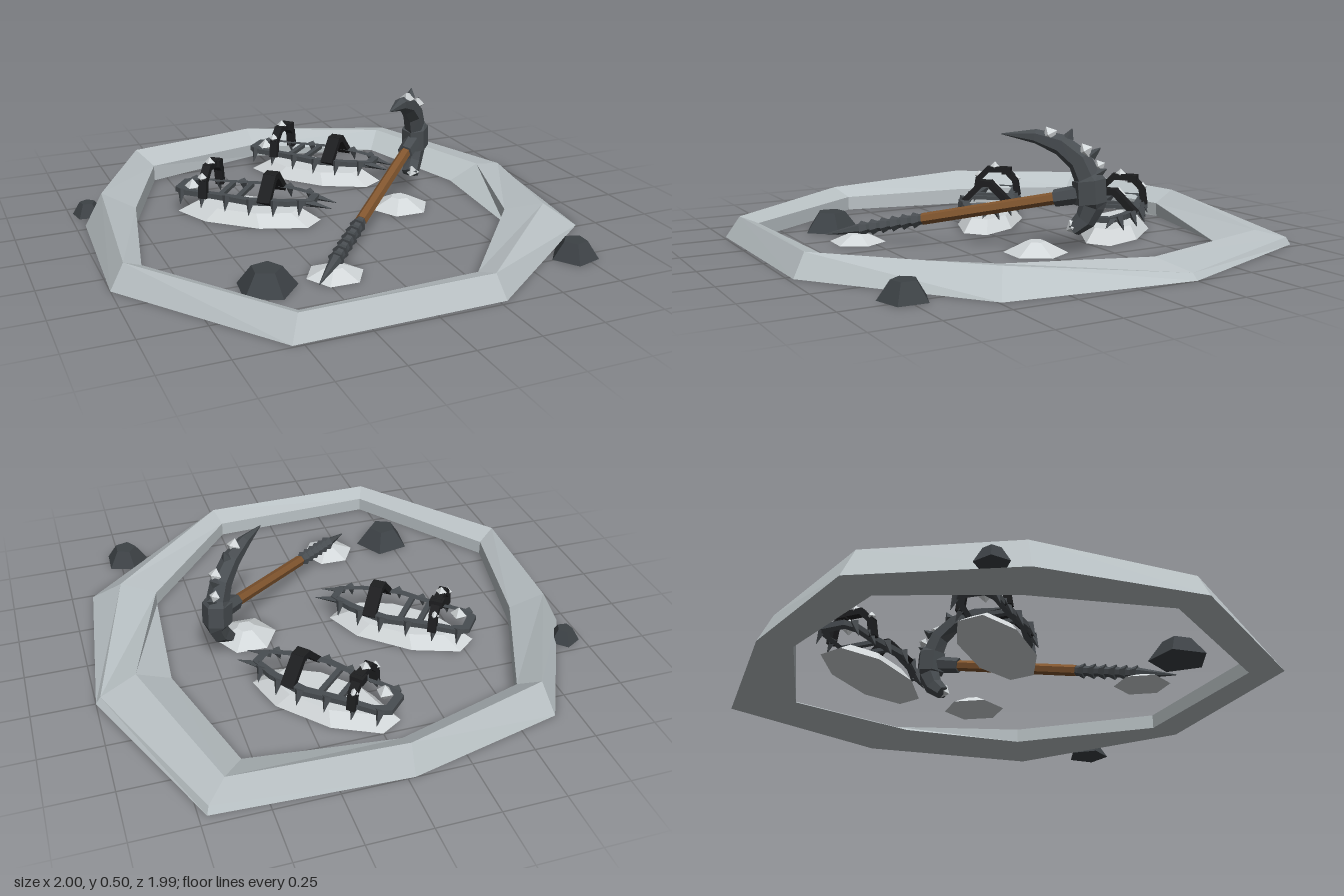
import * as THREE from 'three';

const mat = (name, color) => {
  const m = new THREE.MeshStandardMaterial({ color });
  m.name = name;
  return m;
};
const V = (x, y, z) => new THREE.Vector3(x, y, z);

export function createModel() {
  const ice = mat('ice', 0xbac2c5), snow = mat('snow', 0xd2d7d9), metal = mat('metal', 0x484d51);
  const strapBlack = mat('strap', 0x1d1e20), wood = mat('wood', 0x82562f), stone = mat('stone', 0x3d4246);
  const root = new THREE.Group();

  // Flat-shaded mesh with one normal per face
  function add(parent, name, geo, material) {
    const g = geo.index ? geo.toNonIndexed() : geo;
    g.computeVertexNormals();
    const mesh = new THREE.Mesh(g, material);
    mesh.name = name;
    parent.add(mesh);
    return mesh;
  }

  // Surface through cross-sections, each a closed loop of [x, y, z]
  function loft(sections, closed) {
    const n = sections.length, m = sections[0].length, idx = [];
    for (let i = 0; i < (closed ? n : n - 1); i++) {
      for (let j = 0; j < m; j++) {
        const k = (i + 1) % n, l = (j + 1) % m;
        const a = i * m + j, b = i * m + l, c = k * m + l, d = k * m + j;
        idx.push(a, b, c, a, c, d);
      }
    }
    const g = new THREE.BufferGeometry();
    g.setAttribute('position', new THREE.Float32BufferAttribute(sections.flat(2), 3));
    g.setIndex(idx);
    return g;
  }

  // Tapered rod from a to b
  function rod(parent, name, a, b, r0, r1, sides, material) {
    const d = b.clone().sub(a);
    const mesh = add(parent, name, new THREE.CylinderGeometry(r1, r0, d.length(), sides), material);
    mesh.position.copy(a).lerp(b, 0.5);
    mesh.quaternion.setFromUnitVectors(V(0, 1, 0), d.normalize());
    return mesh;
  }

  // Faceted lump standing on the ground
  function lump(parent, name, x, z, rx, rz, h, taper, sides, turn, material) {
    const g = new THREE.CylinderGeometry(taper, 1, h, sides);
    g.rotateY(turn).scale(rx, 1, rz).translate(x, h / 2, z);
    return add(parent, name, g, material);
  }

  // Ice rim: outer foot, crest, inner lip, inner foot at each corner
  const corners = [
    [-0.03, -1.0, -0.03, 0.115, -0.945, -0.03, 0.06, -0.855, -0.03, -0.86],
    [0.72, -0.96, 0.71, 0.03, -0.945, 0.63, 0.055, -0.85, 0.54, -0.72],
    [1.0, -0.25, 0.98, 0.025, -0.245, 0.83, 0.06, -0.19, 0.69, -0.18],
    [0.91, 0.49, 0.79, 0.09, 0.42, 0.65, 0.06, 0.35, 0.65, 0.35],
    [0.28, 0.98, 0.26, 0.09, 0.93, 0.24, 0.06, 0.84, 0.24, 0.84],
    [-0.54, 0.99, -0.5, 0.09, 0.94, -0.47, 0.06, 0.87, -0.47, 0.87],
    [-1.0, 0.36, -0.945, 0.1, 0.35, -0.87, 0.06, 0.31, -0.87, 0.31],
    [-0.96, -0.29, -0.89, 0.14, -0.27, -0.76, 0.07, -0.23, -0.76, -0.23],
    [-0.66, -0.85, -0.62, 0.13, -0.79, -0.56, 0.07, -0.71, -0.56, -0.71],
  ];
  add(root, 'iceRim', loft(corners.map(c => [
    [c[0], 0, c[1]], [c[2], c[3], c[4]], [c[5], c[6], c[7]], [c[8], 0, c[9]],
  ]), true), ice);

  // Loose rocks and snow patches
  lump(root, 'rock', -0.47, 0.55, 0.12, 0.12, 0.08, 0.5, 5, 0.2, stone);
  lump(root, 'rock', 0.72, 0.75, 0.095, 0.095, 0.07, 0.5, 5, 0.9, stone);
  lump(root, 'rock', -0.925, -0.415, 0.065, 0.065, 0.055, 0.5, 5, 0.5, stone);
  lump(root, 'snowPatch', -0.195, 0.54, 0.115, 0.115, 0.035, 0.3, 6, 0.5, snow);
  lump(root, 'snowPatch', 0.335, 0.01, 0.128, 0.128, 0.045, 0.3, 6, 0.5, snow);

  // Crampon, toe toward local +x
  function crampon(x, z, turn) {
    const g = new THREE.Group();
    g.name = 'crampon';
    g.position.set(x, 0, z);
    g.rotation.y = turn;
    root.add(g);

    lump(g, 'snowBed', 0, 0, 0.32, 0.135, 0.05, 0.72, 8, 0.3, snow);

    // Frame plate with an open middle
    const half = [[-0.31, 0.05], [-0.26, 0.08], [-0.12, 0.09], [0.04, 0.115], [0.2, 0.085], [0.3, 0.04]];
    const outline = (su, sv) => [
      ...half.map(([u, v]) => new THREE.Vector2(u * su, v * sv)),
      ...half.slice().reverse().map(([u, v]) => new THREE.Vector2(u * su, -v * sv)),
    ];
    const shape = new THREE.Shape(outline(1, 1));
    shape.holes.push(new THREE.Path(outline(0.89, 0.7)));
    const plate = new THREE.ExtrudeGeometry(shape, { depth: 0.022, bevelEnabled: false });
    add(g, 'frame', plate.rotateX(Math.PI / 2).translate(0, 0.114, 0), metal);
    for (const [u, w] of [[-0.1, 0.17], [-0.02, 0.2]]) {
      add(g, 'crossBar', new THREE.BoxGeometry(0.022, 0.016, w).translate(u, 0.102, 0), metal);
    }

    // Downward points, splayed outward, and two toe points
    for (const s of [-1, 1]) {
      for (const [u, v] of [[-0.27, 0.07], [-0.17, 0.085], [-0.06, 0.095], [0.05, 0.11], [0.15, 0.095], [0.25, 0.06]]) {
        rod(g, 'point', V(u, 0.115, s * v), V(u, 0.055, s * (v + 0.025)), 0.02, 0.001, 4, metal);
      }
      rod(g, 'toePoint', V(0.27, 0.103, s * 0.04), V(0.375, 0.085, s * 0.035), 0.018, 0.001, 4, metal);
    }

    // Straps arching over the frame
    function strap(u, width, pts) {
      for (let i = 0; i < pts.length - 1; i++) {
        const [z0, y0] = pts[i], [z1, y1] = pts[i + 1];
        const b = new THREE.BoxGeometry(width, 0.026, Math.hypot(z1 - z0, y1 - y0) + 0.014);
        b.rotateX(-Math.atan2(y1 - y0, z1 - z0)).translate(u, (y0 + y1) / 2, (z0 + z1) / 2);
        add(g, 'strap', b, strapBlack);
      }
    }
    strap(-0.165, 0.035, [[-0.095, 0.1], [-0.085, 0.165], [-0.04, 0.21], [0.04, 0.21], [0.085, 0.165], [0.095, 0.1]]);
    strap(0.105, 0.055, [[-0.1, 0.105], [-0.018, 0.188], [0.018, 0.188], [0.1, 0.105]]);
    add(g, 'buckle', new THREE.BoxGeometry(0.055, 0.03, 0.04).translate(-0.165, 0.205, -0.045), strapBlack);

    // Frost clinging to the heel strap and frame
    for (const [u, y, v, r] of [[-0.165, 0.222, 0.01, 0.024], [-0.17, 0.18, 0.085, 0.022],
      [-0.17, 0.17, -0.088, 0.02], [-0.24, 0.115, 0.03, 0.035]]) {
      add(g, 'frost', new THREE.OctahedronGeometry(r).translate(u, y, v), snow);
    }
  }
  crampon(0.15, -0.5, -0.81);
  crampon(-0.3, -0.14, -0.69);

  // Ice axe shaft with ridged grip and tail spike
  const axe = new THREE.Group();
  axe.name = 'iceAxe';
  root.add(axe);
  const tail = V(-0.3, 0.02, 0.64), top = V(0.46, 0.24, -0.12);
  const at = t => tail.clone().lerp(top, t);
  rod(axe, 'tailSpike', tail, at(0.15), 0.002, 0.024, 6, metal);
  rod(axe, 'grip', at(0.14), at(0.4), 0.021, 0.022, 6, metal);
  for (let i = 0; i < 6; i++) {
    const t = 0.15 + i * 0.042;
    rod(axe, 'gripRidge', at(t), at(t + 0.025), 0.033, 0.021, 6, metal);
  }
  rod(axe, 'shaft', at(0.395), at(1), 0.024, 0.024, 6, wood);
  rod(axe, 'collar', at(0.9), at(1), 0.034, 0.038, 6, metal);

  // Axe head in the vertical plane of the shaft: x, y, half depth, half thickness
  const head = new THREE.Group();
  head.name = 'axeHead';
  head.position.set(0.47, 0.25, -0.13);
  head.rotation.y = Math.PI / 4;
  axe.add(head);
  const spine = [
    [-0.05, -0.155, 0.001, 0.001], [-0.045, -0.15, 0.03, 0.034], [0.0, -0.11, 0.042, 0.032],
    [0.025, -0.055, 0.05, 0.036], [0.018, -0.045, 0.066, 0.05], [0.012, 0.045, 0.066, 0.05],
    [0.005, 0.055, 0.053, 0.038], [-0.025, 0.12, 0.05, 0.036], [-0.1, 0.178, 0.042, 0.032],
    [-0.2, 0.207, 0.028, 0.024], [-0.335, 0.212, 0.002, 0.002],
  ];
  const sections = spine.map(([x, y, h, t], i) => {
    const p = spine[Math.max(i - 1, 0)], q = spine[Math.min(i + 1, spine.length - 1)];
    const len = Math.hypot(q[0] - p[0], q[1] - p[1]);
    const nx = -(q[1] - p[1]) / len, ny = (q[0] - p[0]) / len;
    return Array.from({ length: 6 }, (_, k) => {
      const a = k * Math.PI / 3, c = Math.cos(a) * h, s = Math.sin(a) * t * 1.15;
      return [x + nx * c, y + ny * c, s];
    });
  });
  add(head, 'pickAndAdze', loft(sections, false), metal);

  // Barbs along the back of the pick and frost on the head
  for (const [x, y, dx, dy] of [[0.045, 0.07, 0.035, 0.02], [0.02, 0.14, 0.035, 0.03], [-0.07, 0.205, 0.015, 0.035]]) {
    rod(head, 'barb', V(x, y, 0), V(x + dx, y + dy, 0), 0.022, 0.002, 4, metal);
  }
  for (const [x, y, z, r] of [[-0.14, 0.218, 0.01, 0.032], [0.0, 0.16, 0.012, 0.03],
    [0.05, 0.1, -0.015, 0.024], [-0.045, -0.14, 0.01, 0.032]]) {
    add(head, 'frost', new THREE.OctahedronGeometry(r).rotateZ(0.5).translate(x, y, z), snow);
  }
  return root;
}
